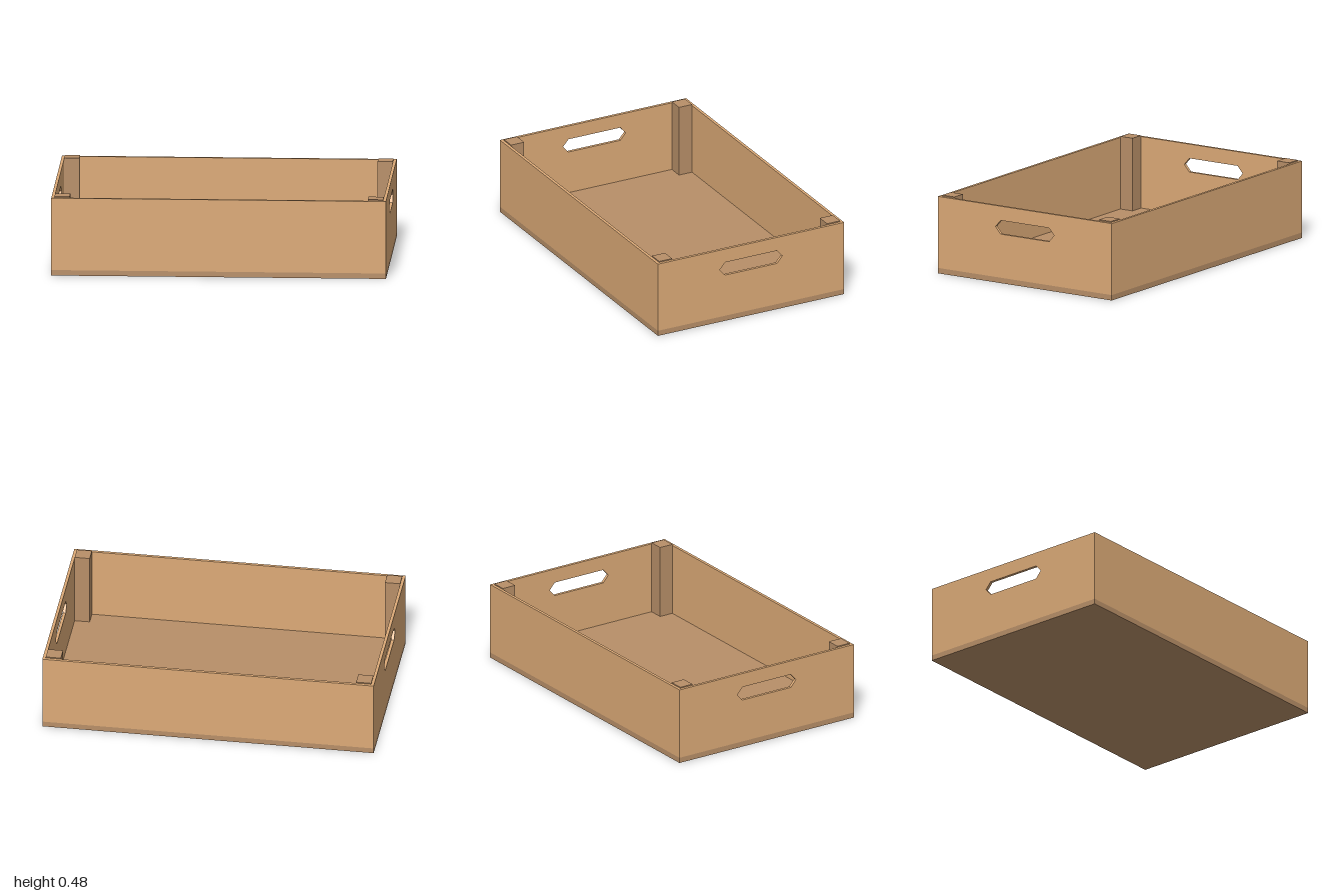
import * as THREE from 'three';

const W = 2, D = 1.26, WALL = 0.018, FLOOR = 0.033, RIM = 0.471;

export function createModel() {
  const crate = new THREE.Group();
  crate.name = 'crate';
  const lightWood = new THREE.MeshStandardMaterial({ color: 0xdcaa77 });
  const darkWood = new THREE.MeshStandardMaterial({ color: 0xb88f68 });

  const add = (name, geometry, material, x, y, z) => {
    const mesh = new THREE.Mesh(geometry, material);
    mesh.name = name;
    mesh.position.set(x, y, z);
    crate.add(mesh);
    return mesh;
  };

  // Floor board
  add('floor', new THREE.BoxGeometry(W, FLOOR, D), darkWood, 0, FLOOR / 2, 0);

  // Long walls, standing on the floor
  const wallHeight = RIM - FLOOR;
  for (const s of [1, -1]) {
    add(s > 0 ? 'frontWall' : 'backWall', new THREE.BoxGeometry(W, wallHeight, WALL), lightWood,
      0, FLOOR + wallHeight / 2, s * (D - WALL) / 2);
  }

  // End walls between the long ones, each with a pointed hand hole
  const half = D / 2 - WALL;
  const endShape = new THREE.Shape([[-half, FLOOR], [half, FLOOR], [half, RIM], [-half, RIM]]
    .map(p => new THREE.Vector2(...p)));
  endShape.holes.push(new THREE.Path(
    [[-0.212, 0.342], [-0.175, 0.384], [0.175, 0.384], [0.212, 0.342], [0.175, 0.3], [-0.175, 0.3]]
      .map(p => new THREE.Vector2(...p))));
  const endGeometry = new THREE.ExtrudeGeometry(endShape, { depth: WALL, bevelEnabled: false });
  endGeometry.translate(0, 0, -WALL / 2);
  endGeometry.rotateY(Math.PI / 2);
  for (const s of [1, -1]) {
    add(s > 0 ? 'leftWall' : 'rightWall', endGeometry, lightWood, s * (W - WALL) / 2, 0, 0);
  }

  // Corner posts, rising just above the rim
  const postX = 0.091, postZ = 0.088, postHeight = 0.478 - FLOOR;
  const postGeometry = new THREE.BoxGeometry(postX, postHeight, postZ);
  for (const sx of [1, -1]) for (const sz of [1, -1]) {
    add('cornerPost', postGeometry, darkWood,
      sx * (W / 2 - WALL - postX / 2), FLOOR + postHeight / 2, sz * (D / 2 - WALL - postZ / 2));
  }
  return crate;
}
